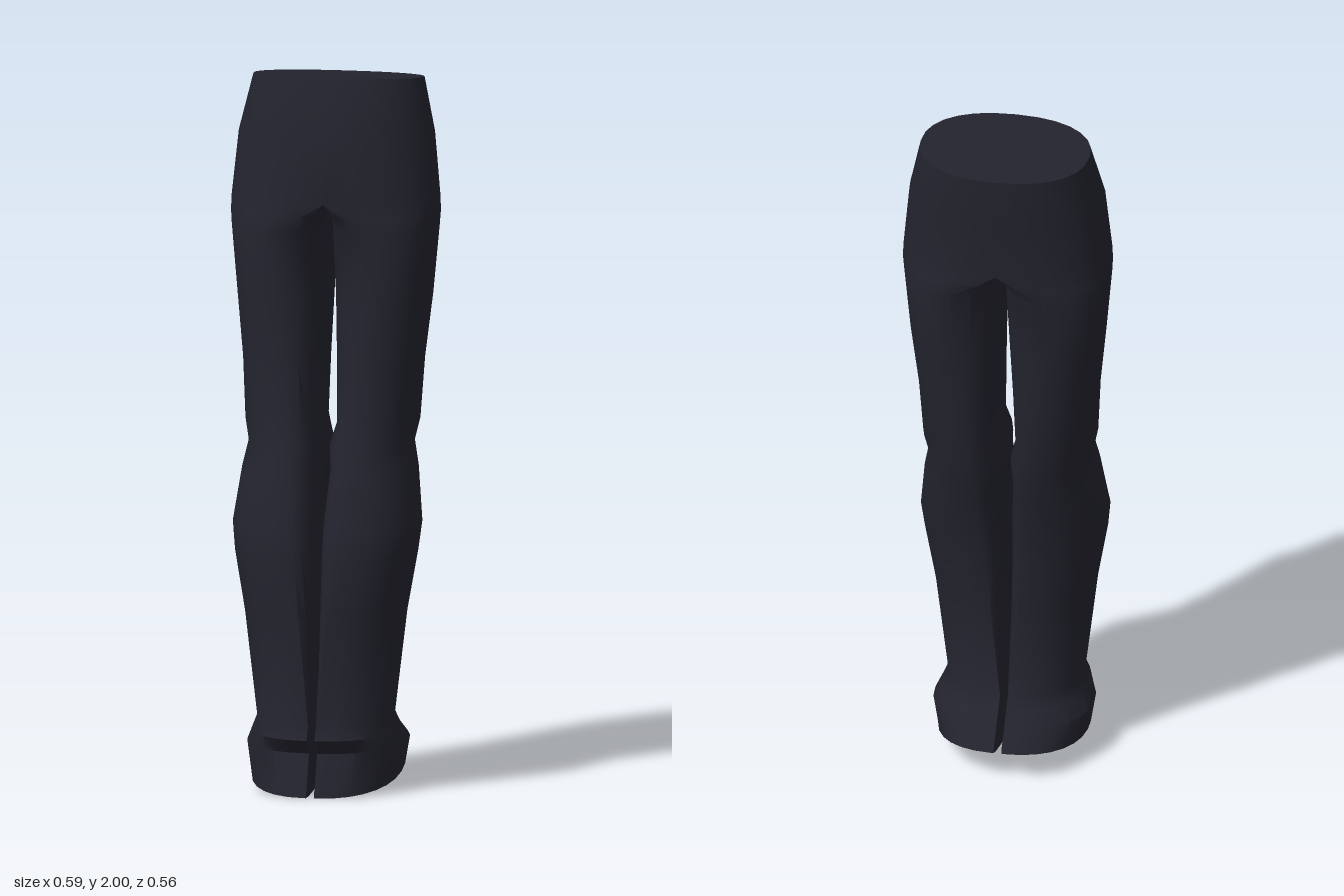
import * as THREE from 'three';
import { toCreasedNormals } from 'three/addons/utils/BufferGeometryUtils.js';

const OUT = 14, IN = 8; // segments of the outer and inner side of each leg

// Silhouette from waist to hem: y, front z, back z, outer x
const OUTLINE = [
  [2.00, 0.05, -0.28, 0.24],
  [1.84, 0.105, -0.28, 0.275],
  [1.65, 0.11, -0.26, 0.294],
  [1.61, 0.11, -0.258, 0.294],
  [1.57, 0.108, -0.25, 0.29],
  [1.38, 0.102, -0.235, 0.273],
  [1.20, 0.125, -0.222, 0.253],
  [1.03, 0.145, -0.21, 0.243],
  [0.97, 0.165, -0.2, 0.23],
  [0.90, 0.185, -0.185, 0.245],
  [0.75, 0.232, -0.152, 0.264],
  [0.67, 0.245, -0.14, 0.255],
  [0.50, 0.248, -0.13, 0.225],
  [0.20, 0.25, -0.13, 0.19],
  [0.16, 0.27, -0.155, 0.205],
  [0.12, 0.237, -0.185, 0.225],
  [0.00, 0.28, -0.23, 0.208],
];
// Values by height: front and back seam x, inner edge x, rise from front to back
const SEAM = [[1.65, 0], [1.57, 0.13], [1.38, 0.125], [0.97, 0.08], [0.67, 0.055], [0.2, 0.012]];
const INNER = [[1.57, 0], [1.2, 0.018], [1.03, 0.024], [0.97, 0.006], [0.9, 0.012], [0.75, 0.002]];
const RISE = [[2, -0.03], [1.65, 0], [0.5, 0], [0.2, 0.02], [0.12, 0.03], [0, 0.09]];

// Linear interpolation along a list of falling heights
function at(curve, y) {
  const i = curve.findIndex((p) => p[0] <= y);
  if (i === 0) return curve[0][1];
  if (i < 0) return curve[curve.length - 1][1];
  const [y0, v0] = curve[i - 1], [y1, v1] = curve[i];
  return v0 + (v1 - v0) * (y0 - y) / (y0 - y1);
}

// Rounded section running front -> outside -> back -> inside
function ring([y, front, back, outer]) {
  const seam = at(SEAM, y), inner = at(INNER, y), rise = at(RISE, y);
  const pts = [], soft = (v) => Math.sign(v) * Math.pow(Math.abs(v), 0.88);
  const add = (angle, width) => {
    const t = (1 - soft(Math.cos(angle))) / 2;
    const side = soft(Math.max(0, Math.sin(angle)));
    pts.push([seam + width * side, y + rise * t, front + (back - front) * t]);
  };
  for (let j = 0; j <= OUT; j++) add(Math.PI * j / OUT, outer - seam);
  for (let j = 1; j < IN; j++) add(Math.PI * (1 - j / IN), inner - seam);
  return pts;
}

// Mesh of the left side's triangles together with their mirror image
function mirroredMesh(name, triangles, material) {
  const pos = [];
  for (const [a, b, c] of triangles) {
    pos.push(...a, ...b, ...c);
    for (const [x, y, z] of [a, c, b]) pos.push(-x, y, z);
  }
  const geo = new THREE.BufferGeometry();
  geo.setAttribute('position', new THREE.Float32BufferAttribute(pos, 3));
  const mesh = new THREE.Mesh(toCreasedNormals(geo, 0.75), material);
  mesh.name = name;
  return mesh;
}

export function createModel() {
  const group = new THREE.Group();
  group.name = 'trousers';
  const cloth = new THREE.MeshStandardMaterial({ color: 0x23232e });
  cloth.name = 'dark navy cloth';
  const rings = OUTLINE.map(ring), n = OUT + IN;

  // Hips and legs; the inside of the legs only begins at the crotch
  const body = [];
  for (let i = 0; i < rings.length - 1; i++) {
    const up = rings[i], low = rings[i + 1];
    const isHip = at(SEAM, OUTLINE[i + 1][0]) === 0;
    for (let j = 0; j < (isHip ? OUT : n); j++) {
      const k = (j + 1) % n;
      body.push([low[j], low[k], up[k]], [low[j], up[k], up[j]]);
    }
  }
  group.add(mirroredMesh('hipsAndLegs', body, cloth));

  // Flat closing faces at the waist and the hems
  const waist = [], hems = [];
  const top = rings[0], bottom = rings[rings.length - 1];
  for (let j = 1; j < OUT; j++) waist.push([top[0], top[j], top[j + 1]]);
  for (let j = 1; j < n - 1; j++) hems.push([bottom[0], bottom[j + 1], bottom[j]]);
  group.add(mirroredMesh('waistTop', waist, cloth), mirroredMesh('hemBottoms', hems, cloth));
  return group;
}
